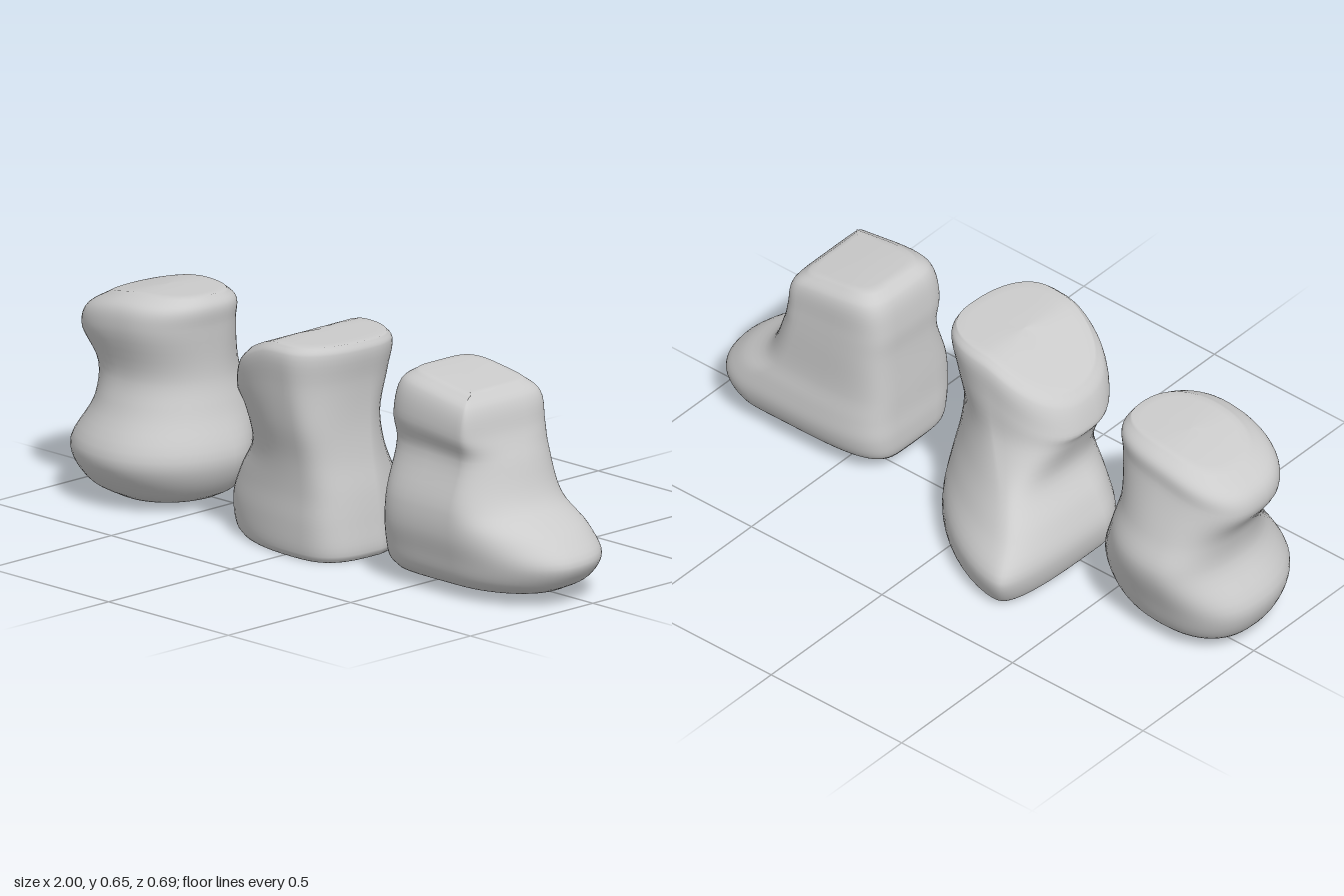
import * as THREE from 'three';

const QUARTER = 14, AROUND = QUARTER * 4, UP = 40;

// Section: [height, left x, right x, back z, front z, x of the rearmost point].
// powers: corner roundness front right, front left, back left, back right; smaller is squarer.
// topPower: corner roundness at the top.
// slope: how the top falls away to one side of slopeStart.
const ROCKS = {
  roundedRock: {
    frontX: -0.7, middleZ: 0.05, powers: [0.95, 0.95, 0.8, 1], topPower: 0.8, slopeStart: -0.72, slope: 0.26,
    sections: [
      [0.022, -0.9, -0.55, -0.07, 0.22, -0.74],
      [0.06, -0.965, -0.485, -0.13, 0.285, -0.76],
      [0.16, -1, -0.44, -0.17, 0.345, -0.76],
      [0.3, -0.925, -0.485, -0.205, 0.28, -0.76],
      [0.4, -0.93, -0.51, -0.165, 0.25, -0.76],
      [0.55, -0.98, -0.505, -0.115, 0.275, -0.77],
      [0.615, -0.965, -0.5, -0.105, 0.26, -0.76],
      [0.65, -0.88, -0.52, -0.06, 0.2, -0.74],
    ],
  },
  ridgedRock: {
    frontX: 0.03, middleZ: 0.08, powers: [0.6, 1, 0.65, 1.3], topPower: 0.85, slopeStart: -0.05, slope: 0.48,
    sections: [
      [0.006, -0.33, 0.19, -0.3, 0.28, -0.26],
      [0.025, -0.35, 0.2, -0.32, 0.288, -0.27],
      [0.11, -0.365, 0.193, -0.345, 0.29, -0.29],
      [0.2, -0.33, 0.18, -0.265, 0.285, -0.25],
      [0.3, -0.27, 0.16, -0.18, 0.29, -0.18],
      [0.41, -0.29, 0.15, -0.115, 0.31, -0.1],
      [0.53, -0.31, 0.155, -0.1, 0.32, -0.07],
      [0.63, -0.285, 0.17, -0.09, 0.322, -0.05],
      [0.655, -0.25, 0.16, -0.065, 0.3, -0.04],
    ],
  },
  steppedRock: {
    frontX: 0.68, middleZ: 0.07, powers: [1, 0.4, 0.4, 0.9], topPower: 0.4, slopeStart: 0.46, slope: -0.16,
    sections: [
      [0.04, 0.37, 0.91, -0.08, 0.23, 0.76],
      [0.07, 0.35, 0.965, -0.12, 0.255, 0.8],
      [0.13, 0.345, 1, -0.14, 0.27, 0.82],
      [0.2, 0.35, 0.94, -0.135, 0.282, 0.79],
      [0.28, 0.353, 0.825, -0.12, 0.275, 0.71],
      [0.42, 0.36, 0.765, -0.115, 0.23, 0.66],
      [0.51, 0.36, 0.735, -0.11, 0.248, 0.64],
      [0.61, 0.38, 0.71, -0.1, 0.23, 0.62],
      [0.645, 0.42, 0.67, -0.065, 0.185, 0.58],
    ],
  },
};

const topWeight = y => THREE.MathUtils.smoothstep(y, 0.36, 0.62);

// One closed loop: four rounded corners between the outermost points
function sectionLoop([y, left, right, back, front, backX], rock) {
  const { lerp } = THREE.MathUtils;
  return Array.from({ length: AROUND }, (_, i) => {
    const quadrant = Math.floor(i / QUARTER);
    const angle = (i / AROUND) * Math.PI * 2;
    const power = lerp(rock.powers[quadrant], rock.topPower, topWeight(y));
    const c = Math.abs(Math.cos(angle)) ** power;
    const s = Math.abs(Math.sin(angle)) ** power;
    const isFront = quadrant < 2, isRight = quadrant === 0 || quadrant === 3;
    return new THREE.Vector3(
      lerp(isFront ? rock.frontX : backX, isRight ? right : left, c), y,
      lerp(rock.middleZ, isFront ? front : back, s));
  });
}

// Pull a ring towards its centre
function shrink(ring, amount) {
  const centre = ring.reduce((sum, p) => sum.add(p), new THREE.Vector3()).divideScalar(AROUND);
  return ring.map(p => p.clone().lerp(centre, amount));
}

// Loops joined by smooth columns, with both ends closed and the top sloped
function rockGeometry(rock) {
  const loops = rock.sections.map(section => sectionLoop(section, rock));
  const columns = Array.from({ length: AROUND }, (_, i) =>
    new THREE.CatmullRomCurve3(loops.map(loop => loop[i]), false, 'centripetal').getPoints(UP));
  const rings = Array.from({ length: UP + 1 }, (_, j) => columns.map(column => column[j]));
  const bottom = rings[0], top = rings[UP];
  for (const amount of [0.15, 0.4, 0.7, 1]) {
    rings.unshift(shrink(bottom, amount));
    rings.push(shrink(top, amount));
  }
  const points = rings.flat();
  for (const p of points) {
    const fall = rock.slope * (p.x - rock.slopeStart);
    p.y += topWeight(p.y) * (fall - Math.hypot(fall, 0.015)) / 2;
  }

  const index = [];
  for (let j = 0; j < rings.length - 1; j++) {
    for (let i = 0; i < AROUND; i++) {
      const a = j * AROUND + i, b = j * AROUND + (i + 1) % AROUND;
      index.push(a, b + AROUND, b, a, a + AROUND, b + AROUND);
    }
  }
  const geometry = new THREE.BufferGeometry().setFromPoints(points);
  geometry.setIndex(index);
  geometry.computeVertexNormals();
  return geometry;
}

export function createModel() {
  const group = new THREE.Group();
  group.name = 'rocks';
  const stone = new THREE.MeshStandardMaterial({ color: 0xcccccc });
  for (const [name, rock] of Object.entries(ROCKS)) {
    const mesh = new THREE.Mesh(rockGeometry(rock), stone);
    mesh.name = name;
    group.add(mesh);
  }
  return group;
}
